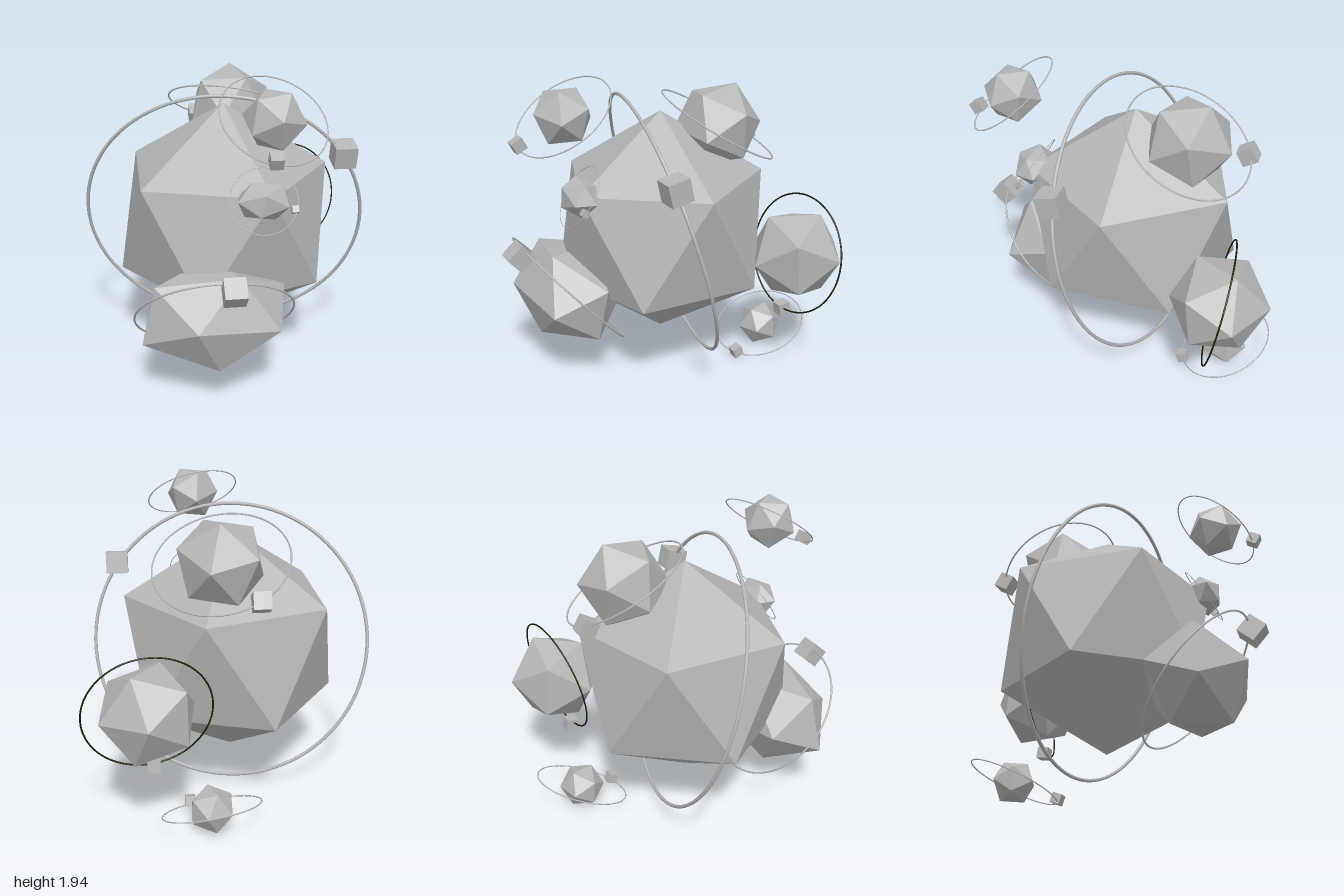
import * as THREE from 'three';

const stone = new THREE.MeshStandardMaterial({ color: 0xb6b6b6 });
stone.name = 'grey stone';
const darkMetal = new THREE.MeshStandardMaterial({ color: 0x1a1a04 });
darkMetal.name = 'dark olive metal';

const V = (a) => new THREE.Vector3(...a);

// Twenty-sided body, turned so two neighbouring corners point along a and b
function makeBody(radius, a, b, stretch = 1) {
  const va = V(a).normalize();
  const vb = V(b).normalize();
  const x = vb.clone().sub(va).normalize();
  const y = vb.clone().add(va).normalize();
  const z = x.clone().cross(y);
  const geo = new THREE.IcosahedronGeometry(radius, 0);
  geo.applyMatrix4(new THREE.Matrix4().makeBasis(x, y, z));
  geo.scale(stretch, 1, 1);
  return new THREE.Mesh(geo, stone);
}

// Thin ring around the body, facing along normal
function makeRing(radius, tube, normal, material) {
  const ring = new THREE.Mesh(new THREE.TorusGeometry(radius, tube, 8, 96), material);
  ring.quaternion.setFromUnitVectors(new THREE.Vector3(0, 0, 1), V(normal).normalize());
  return ring;
}

// Each planetoid: body, orbit ring and one cube riding on the ring
const planetoids = [
  { name: 'mainPlanetoid', at: [-0.03, 0.955, -0.015], r: 0.735, a: [0, 1, 0], b: [0.894, 0.447, 0],
    ring: 0.87, tube: 0.011, n: [-0.178, -0.276, 0.945], cube: [0.697, 0.465, 0.267], size: 0.135, tilt: 0.22 },
  { name: 'longFrontPlanetoid', at: [-0.162, 0.57, 0.583], r: 0.336, stretch: 1.45,
    a: [-0.088, 0.045, 0.321], b: [0.004, -0.273, 0.196],
    ring: 0.472, tube: 0.006, n: [0, -0.666, 0.746], cube: [0.07, 0.307, 0.333], size: 0.125, tilt: 0.73 },
  { name: 'topFrontPlanetoid', at: [0.15, 1.77, 0.69], r: 0.178, a: [0.015, 0.04, 0.165], b: [0.03, -0.15, 0.09],
    ring: 0.303, tube: 0.004, n: [0.19, 0.796, 0.574], cube: [-0.035, -0.143, 0.255], size: 0.07, tilt: 0.5 },
  { name: 'smallFrontPlanetoid', at: [0.12, 1.272, 0.595], r: 0.122, stretch: 1.4,
    a: [-0.048, 0.115, -0.01], b: [-0.111, 0.016, 0.05],
    ring: 0.195, tube: 0.0025, n: [-0.04, 0.53, 0.83], cube: [0.172, -0.045, 0.037], size: 0.04, tilt: 0.99 },
  { name: 'topBackPlanetoid', at: [0.062, 1.585, -0.373], r: 0.278, a: [0.01, 0.25, -0.105], b: [0.085, -0.005, -0.27],
    ring: 0.403, tube: 0.005, n: [0.2, 0.863, -0.46], cube: [-0.19, -0.137, -0.32], size: 0.1, tilt: 0.52 },
  { name: 'leftBackPlanetoid', at: [0.51, 0.81, -0.697], r: 0.303, a: [0, 0.03, -0.3], b: [0.272, 0.01, -0.136],
    ring: 0.377, tube: 0.005, n: [0.13, 0.195, 0.97], ringMaterial: darkMetal,
    cube: [-0.026, -0.374, 0.065], size: 0.075, tilt: 0.15 },
  { name: 'lowBackPlanetoid', at: [0.15, 0.155, -0.695], r: 0.146, a: [0.03, 0.01, -0.137], b: [-0.03, 0.131, -0.065],
    ring: 0.301, tube: 0.004, n: [0.13, 0.915, 0.38], cube: [0.115, -0.1, 0.255], size: 0.065, tilt: 0.35 },
];

export function createModel() {
  const model = new THREE.Group();
  model.name = 'planetoidCluster';
  for (const p of planetoids) {
    const group = new THREE.Group();
    group.name = p.name;
    group.position.set(...p.at);

    const body = makeBody(p.r, p.a, p.b, p.stretch);
    body.name = 'body';

    const ring = makeRing(p.ring, p.tube, p.n, p.ringMaterial ?? stone);
    ring.name = 'orbitRing';

    const cube = new THREE.Mesh(new THREE.BoxGeometry(p.size, p.size, p.size), stone);
    cube.name = 'cubeMoon';
    cube.position.set(...p.cube);
    cube.rotation.x = p.tilt;

    group.add(body, ring, cube);
    model.add(group);
  }
  return model;
}
